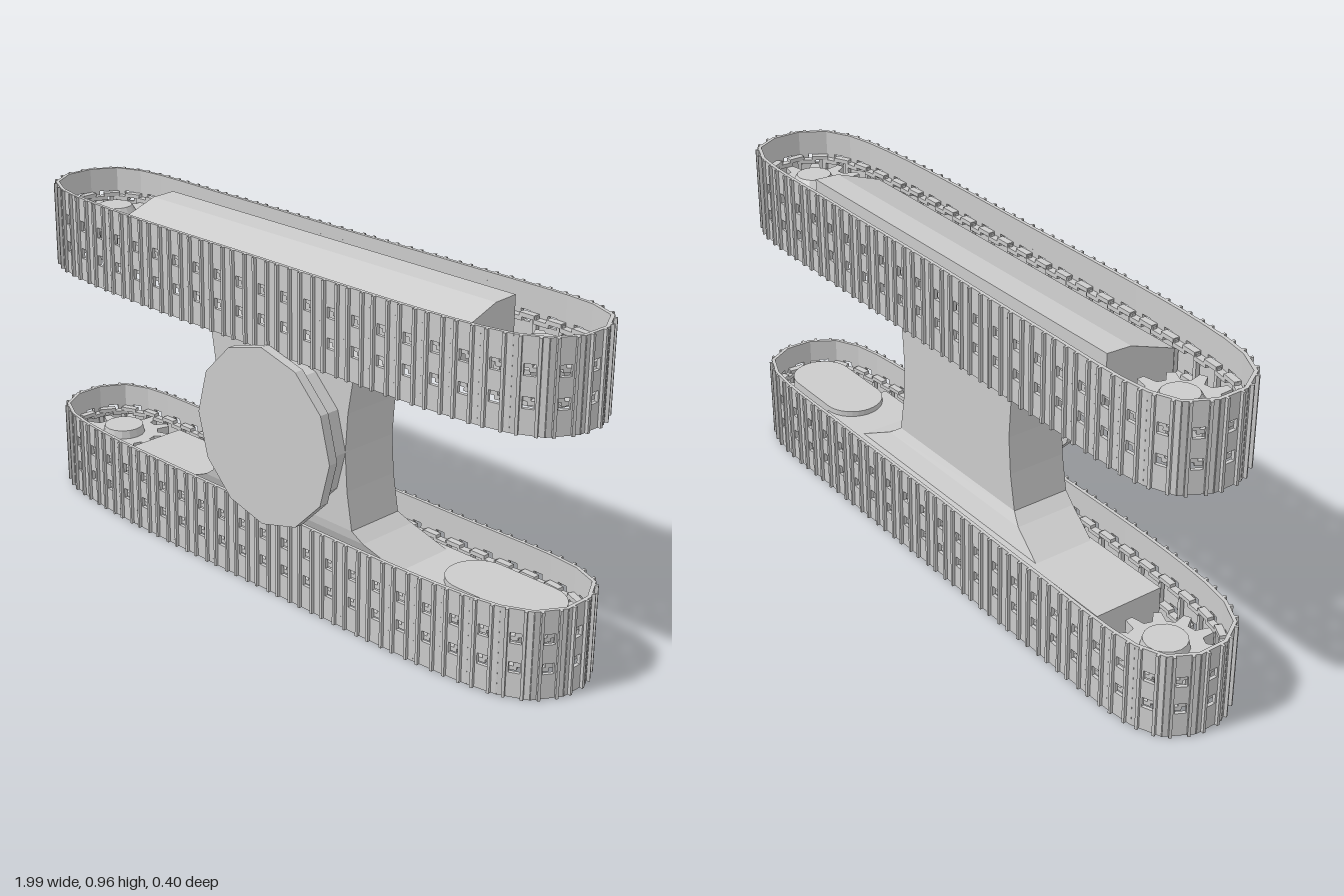
import * as THREE from 'three';
import { mergeGeometries } from 'three/addons/utils/BufferGeometryUtils.js';

const HEIGHT = 0.965;
const material = new THREE.MeshStandardMaterial({ color: 0xcccccc, flatShading: true, side: THREE.DoubleSide });

// Flat-shaded copy, so different geometries can be merged
function flat(geo) {
  const g = geo.index ? geo.toNonIndexed() : geo.clone();
  g.deleteAttribute('uv');
  g.clearGroups();
  g.computeVertexNormals();
  return g;
}

// Mirrors a flat geometry from the lower track to the upper one
function mirrorY(geo) {
  const g = geo.clone();
  const p = g.attributes.position;
  const a = new THREE.Vector3(), b = new THREE.Vector3();
  for (let i = 0; i < p.count; i++) p.setY(i, HEIGHT - p.getY(i));
  for (let i = 0; i < p.count; i += 3) {
    a.fromBufferAttribute(p, i + 1);
    b.fromBufferAttribute(p, i + 2);
    p.setXYZ(i + 1, b.x, b.y, b.z);
    p.setXYZ(i + 2, a.x, a.y, a.z);
  }
  g.computeVertexNormals();
  return g;
}

const box = (w, h, d, x, y, z) => flat(new THREE.BoxGeometry(w, h, d).translate(x, y, z));

function cylinder(rBottom, rTop, y0, y1, x, z, sides = 16) {
  return flat(new THREE.CylinderGeometry(rTop, rBottom, y1 - y0, sides).translate(x, (y0 + y1) / 2, z));
}

// Rectangular sections [y, x0, x1, z0, z1] joined from bottom to top
function loft(sections) {
  const pos = [], idx = [], last = (sections.length - 1) * 4;
  for (const [y, x0, x1, z0, z1] of sections) pos.push(x0, y, z0, x0, y, z1, x1, y, z1, x1, y, z0);
  for (let i = 0; i < last; i += 4) {
    for (let j = 0; j < 4; j++) {
      const a = i + j, b = i + (j + 1) % 4;
      idx.push(a, b, b + 4, a, b + 4, a + 4);
    }
  }
  idx.push(0, 2, 1, 0, 3, 2, last, last + 1, last + 2, last, last + 2, last + 3);
  const g = new THREE.BufferGeometry();
  g.setAttribute('position', new THREE.Float32BufferAttribute(pos, 3));
  g.setIndex(idx);
  return flat(g);
}

// Shoe plate with two windows: x along the belt, y across it, z outwards
function shoePlate(length) {
  const h = length / 2 + 0.002;
  const s = new THREE.Shape([[-h, 0], [h, 0], [h, 0.25], [-h, 0.25]].map(p => new THREE.Vector2(...p)));
  for (const y of [0.07, 0.153]) {
    s.holes.push(new THREE.Path([[-0.015, y], [-0.015, y + 0.03], [0.015, y + 0.03], [0.015, y]]
      .map(p => new THREE.Vector2(...p))));
  }
  const plate = new THREE.ExtrudeGeometry(s, { depth: 0.01, bevelEnabled: false }).translate(0, 0, -0.005);
  return mergeGeometries([
    flat(plate),
    box(0.008, 0.25, 0.009, -0.024, 0.125, 0.0095),
    box(0.008, 0.25, 0.009, 0.024, 0.125, 0.0095),
  ]);
}

// Chain links behind the windows
function chainLink(length) {
  const parts = [];
  for (const y of [0.083, 0.167]) {
    parts.push(box(length * 0.56, 0.012, 0.02, -length * 0.23, y - 0.005, -0.015));
    parts.push(box(length * 0.56, 0.012, 0.02, length * 0.23, y + 0.005, -0.015));
  }
  parts.push(box(0.012, 0.1, 0.012, length / 2, 0.125, -0.016));
  return mergeGeometries(parts);
}

// Places a part at every shoe of the loop
function alongBelt(geo, points) {
  const up = new THREE.Vector3(0, 1, 0), copies = [];
  for (let i = 0; i < points.length - 1; i++) {
    const t = points[i + 1].clone().sub(points[i]).normalize();
    const n = t.clone().cross(up);
    const m = new THREE.Matrix4().makeBasis(t, up, n)
      .setPosition(points[i].clone().add(points[i + 1]).multiplyScalar(0.5));
    copies.push(geo.clone().applyMatrix4(m));
  }
  return mergeGeometries(copies);
}

// Toothed wheel with a low stepped hub
function sprocket(x, z) {
  const pts = [], teeth = 11;
  for (let i = 0; i < teeth; i++) {
    for (const [f, r] of [[-0.3, 0.105], [-0.13, 0.143], [0.13, 0.143], [0.3, 0.105]]) {
      const a = (i + f) / teeth * Math.PI * 2;
      pts.push(new THREE.Vector2(Math.cos(a) * r, Math.sin(a) * r));
    }
  }
  const gear = new THREE.ExtrudeGeometry(new THREE.Shape(pts), { depth: 0.06, bevelEnabled: false })
    .rotateX(-Math.PI / 2).translate(x, 0.095, z);
  return mergeGeometries([
    flat(gear),
    cylinder(0.05, 0.065, 0.07, 0.095, x, z),
    cylinder(0.065, 0.06, 0.155, 0.18, x, z),
  ]);
}

// Side frame: flat shelf and sloping face on the outer side
function sideFrame() {
  const section = [[-0.125, 0.013], [-0.05, 0.016], [0.09, 0.066], [0.09, 0.185], [-0.125, 0.185]];
  const s = new THREE.Shape(section.map(([z, y]) => new THREE.Vector2(-z, y)));
  return flat(new THREE.ExtrudeGeometry(s, { depth: 1.31, bevelEnabled: false })
    .rotateY(Math.PI / 2).translate(-0.65, 0, 0));
}

// Rounded drive cover on the inner side
function driveCover() {
  const s = new THREE.Shape();
  s.absarc(0.09, 0, 0.09, -Math.PI / 2, Math.PI / 2);
  s.absarc(-0.09, 0, 0.09, Math.PI / 2, Math.PI * 1.5);
  return flat(new THREE.ExtrudeGeometry(s, { depth: 0.05, bevelEnabled: false, curveSegments: 8 })
    .rotateX(-Math.PI / 2).translate(0.75, 0.152, -0.03));
}

export function createModel() {
  const model = new THREE.Group();
  model.name = 'trackedUndercarriage';

  // Belt loop: lower run, end, upper run, mirrored end
  const half = [[0.5, 0.156], [0.7, 0.146], [0.85, 0.125], [0.935, 0.085], [0.983, 0.005],
    [0.985, -0.06], [0.95, -0.138], [0.87, -0.177], [0.45, -0.187]];
  const loop = [[0, 0.157], ...half, [0, -0.185], ...half.slice().reverse().map(([x, z]) => [-x, z])]
    .map(([x, z]) => new THREE.Vector3(x, 0, z));
  const curve = new THREE.CatmullRomCurve3(loop, true, 'centripetal');
  const points = curve.getSpacedPoints(50);
  const pitch = curve.getLength() / 50;

  const trackParts = {
    trackShoes: alongBelt(shoePlate(pitch), points),
    chainLinks: alongBelt(chainLink(pitch), points),
    driveSprocket: sprocket(0.817, -0.038),
    idlerSprocket: sprocket(-0.817, -0.038),
    sideFrame: sideFrame(),
    driveCover: driveCover(),
  };
  for (const side of ['lower', 'upper']) {
    const track = new THREE.Group();
    track.name = side + 'Track';
    for (const [name, geo] of Object.entries(trackParts)) {
      const mesh = new THREE.Mesh(side === 'upper' ? mirrorY(geo) : geo, material);
      mesh.name = name;
      track.add(mesh);
    }
    model.add(track);
  }

  // Waisted centre body with flared feet
  const feet = [[0.18, -0.38, 0.49, -0.11, 0.08], [0.235, -0.26, 0.37, -0.085, 0.105],
    [0.262, -0.222, 0.332, -0.07, 0.11], [0.37, -0.203, 0.313, -0.07, 0.11]];
  const body = new THREE.Mesh(loft([...feet, [HEIGHT / 2, -0.195, 0.305, -0.07, 0.11],
    ...feet.slice().reverse().map(([y, ...r]) => [HEIGHT - y, ...r])]), material);
  body.name = 'centreBody';
  model.add(body);

  // Turntable: narrow ring under a wider plate
  for (const [name, r, z0, z1] of [['turntableRing', 0.226, 0.1, 0.172], ['turntablePlate', 0.257, 0.172, 0.2]]) {
    const geo = new THREE.CylinderGeometry(r, r, z1 - z0, 12).rotateX(Math.PI / 2)
      .translate(0.08, HEIGHT / 2, (z0 + z1) / 2);
    const mesh = new THREE.Mesh(flat(geo), material);
    mesh.name = name;
    model.add(mesh);
  }
  return model;
}
